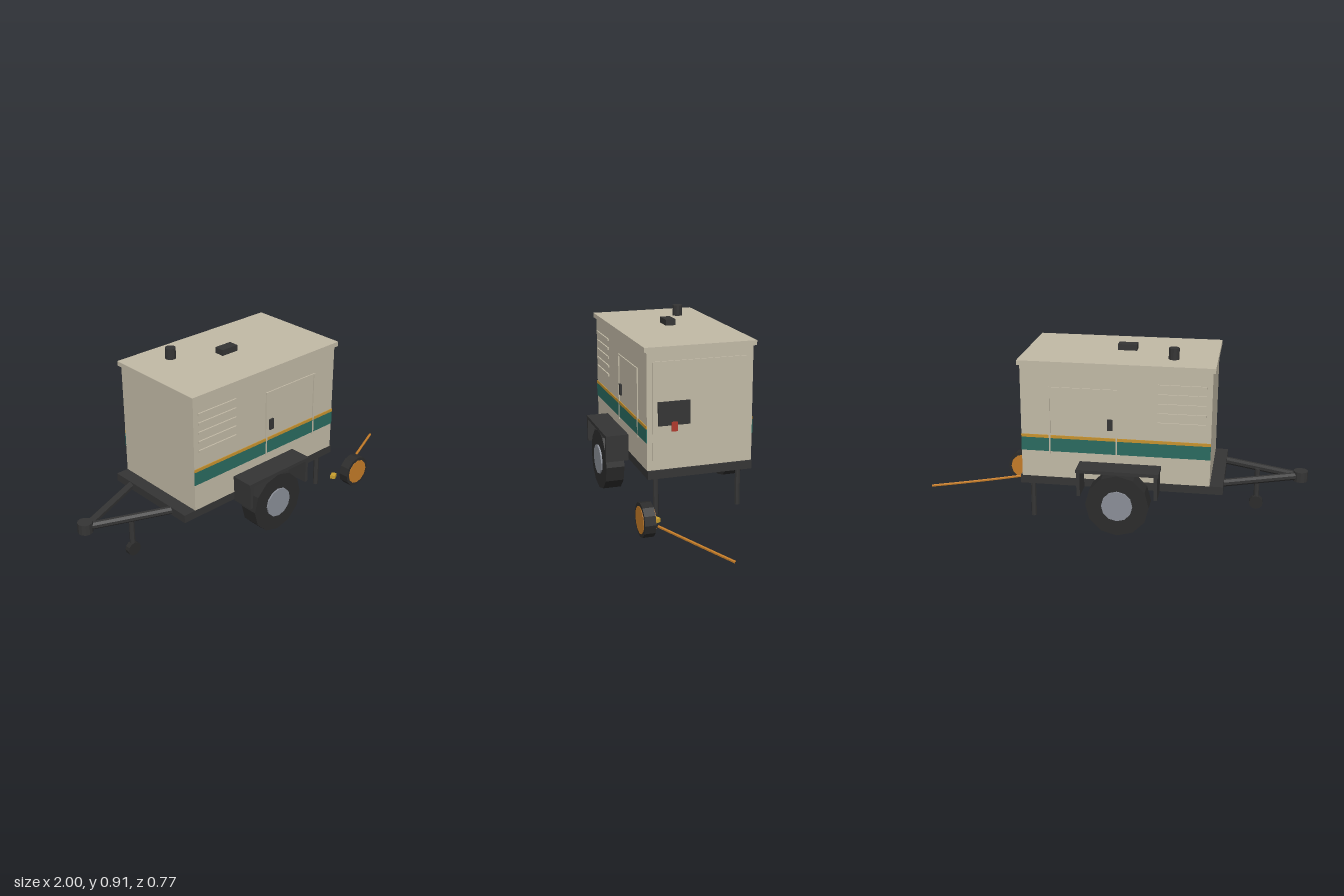
import * as THREE from 'three';

const mat = (name, color) => {
  const m = new THREE.MeshStandardMaterial({ color });
  m.name = name;
  m.flatShading = true;
  return m;
};

export function createModel() {
  const root = new THREE.Group();
  root.name = 'towedGenerator';
  const beige = mat('beige paint', 0xc2baa6);
  const dark = mat('dark steel', 0x353535);
  const rubber = mat('rubber', 0x2c2c2c);
  const teal = mat('teal stripe', 0x2a6b60);
  const amber = mat('amber stripe', 0xc8932f);
  const orange = mat('orange cable', 0xc47c28);
  const steel = mat('wheel hub grey', 0x8b8f98);
  const red = mat('red switch', 0xb03a2e);
  const yellow = mat('yellow plug', 0xc9a02e);

  const add = (name, geo, material, x = 0, y = 0, z = 0) => {
    const mesh = new THREE.Mesh(geo, material);
    mesh.name = name;
    mesh.position.set(x, y, z);
    root.add(mesh);
    return mesh;
  };
  // Box given by its lower and upper limits on each axis
  const box = (name, material, x0, x1, y0, y1, z0, z1) =>
    add(name, new THREE.BoxGeometry(x1 - x0, y1 - y0, z1 - z0), material,
      (x0 + x1) / 2, (y0 + y1) / 2, (z0 + z1) / 2);
  // Box on one side of the model, s = +1 front or -1 back
  const sideBox = (name, material, s, x0, x1, y0, y1, z0, z1) =>
    box(name, material, x0, x1, y0, y1, Math.min(s * z0, s * z1), Math.max(s * z0, s * z1));
  // Disc with its axis along z
  const disc = (name, material, r, depth, x, y, z, sides = 12) =>
    add(name, new THREE.CylinderGeometry(r, r, depth, sides).rotateX(Math.PI / 2), material, x, y, z);
  // Round bar between two points
  const bar = (name, material, r, a, b, sides = 8) => {
    const from = new THREE.Vector3(...a), to = new THREE.Vector3(...b);
    const dir = to.clone().sub(from);
    const mid = from.clone().add(to).multiplyScalar(0.5);
    const mesh = add(name, new THREE.CylinderGeometry(r, r, dir.length(), sides), material, mid.x, mid.y, mid.z);
    mesh.quaternion.setFromUnitVectors(new THREE.Vector3(0, 1, 0), dir.normalize());
    return mesh;
  };

  // Deck, enclosure and roof
  box('deck', dark, -0.59, 0.41, 0.225, 0.266, -0.263, 0.263);
  box('enclosure', beige, -0.525, 0.4, 0.266, 0.835, -0.263, 0.263);
  box('roof', beige, -0.537, 0.412, 0.834, 0.858, -0.276, 0.276);
  box('roofCap', dark, -0.135, -0.04, 0.862, 0.892, -0.026, 0.026);
  add('exhaust', new THREE.CylinderGeometry(0.026, 0.026, 0.056, 12), dark, -0.328, 0.885, -0.132);

  // End panel with control box and switch
  box('endPanel', beige, 0.4, 0.407, 0.315, 0.788, -0.235, 0.237);
  box('controlBox', dark, 0.406, 0.415, 0.483, 0.598, 0.054, 0.212);
  box('switch', red, 0.414, 0.421, 0.454, 0.5, 0.118, 0.147);

  for (const s of [1, -1]) {
    // Painted stripes
    sideBox('tealStripe', teal, s, -0.525, 0.4, 0.402, 0.47, 0.262, 0.267);
    sideBox('amberStripe', amber, s, -0.525, 0.4, 0.47, 0.485, 0.262, 0.267);

    // Door frame and handle
    for (const x of [-0.07, 0.258]) {
      sideBox('doorEdge', beige, s, x - 0.004, x + 0.004, 0.39, 0.73, 0.262, 0.269);
    }
    sideBox('doorTop', beige, s, -0.074, 0.262, 0.722, 0.73, 0.262, 0.269);
    sideBox('doorHandle', dark, s, -0.051, -0.025, 0.525, 0.58, 0.262, 0.272);

    // Vent slats
    for (let i = 0; i < 5; i++) {
      const y = 0.76 - i * 0.047;
      sideBox('ventSlat', beige, s, -0.498, -0.268, y - 0.006, y + 0.006, 0.262, 0.27);
    }

    // Wheel and fender
    disc('wheel', rubber, 0.155, 0.093, -0.09, 0.18, s * 0.3265);
    disc('wheelHub', steel, 0.076, 0.05, -0.09, 0.18, s * 0.356);
    sideBox('fenderTop', dark, s, -0.29, 0.109, 0.343, 0.36, 0.27, 0.385);
    sideBox('fenderEnd', dark, s, -0.285, -0.268, 0.225, 0.344, 0.27, 0.385);
    sideBox('fenderEnd', dark, s, 0.088, 0.105, 0.225, 0.344, 0.27, 0.385);

    // Support leg and drawbar
    bar('supportLeg', dark, 0.0135, [0.36, 0.03, s * 0.21], [0.36, 0.23, s * 0.21]);
    bar('drawbar', dark, 0.019, [-0.96, 0.245, 0], [-0.56, 0.245, s * 0.165]);
  }

  // Tow coupler and jockey wheel
  add('coupler', new THREE.CylinderGeometry(0.036, 0.036, 0.052, 12), dark, -0.964, 0.246, 0);
  bar('jockeyLeg', dark, 0.0135, [-0.75, 0.06, 0.063], [-0.75, 0.245, 0.063]);
  disc('jockeyWheel', rubber, 0.035, 0.027, -0.75, 0.06, 0.063);

  // Cable reel standing on the ground
  disc('reelRim', rubber, 0.083, 0.053, 0.543, 0.087, 0.316);
  disc('reelCoil', orange, 0.066, 0.062, 0.543, 0.087, 0.314);
  bar('cableStub', orange, 0.008, [0.5, 0.06, 0.281], [0.527, 0.04, 0.284], 6);

  // Loose cable and plug
  const cablePath = new THREE.CatmullRomCurve3([
    new THREE.Vector3(0.54, 0.042, 0.253), new THREE.Vector3(0.68, 0.038, 0.19),
    new THREE.Vector3(0.85, 0.035, 0.116), new THREE.Vector3(0.997, 0.034, 0.053),
  ]);
  add('looseCable', new THREE.TubeGeometry(cablePath, 12, 0.007, 6), orange);
  const plug = add('plug', new THREE.BoxGeometry(0.034, 0.02, 0.026), yellow, 0.468, 0.046, 0.242);
  plug.rotation.y = 0.45;

  return root;
}
